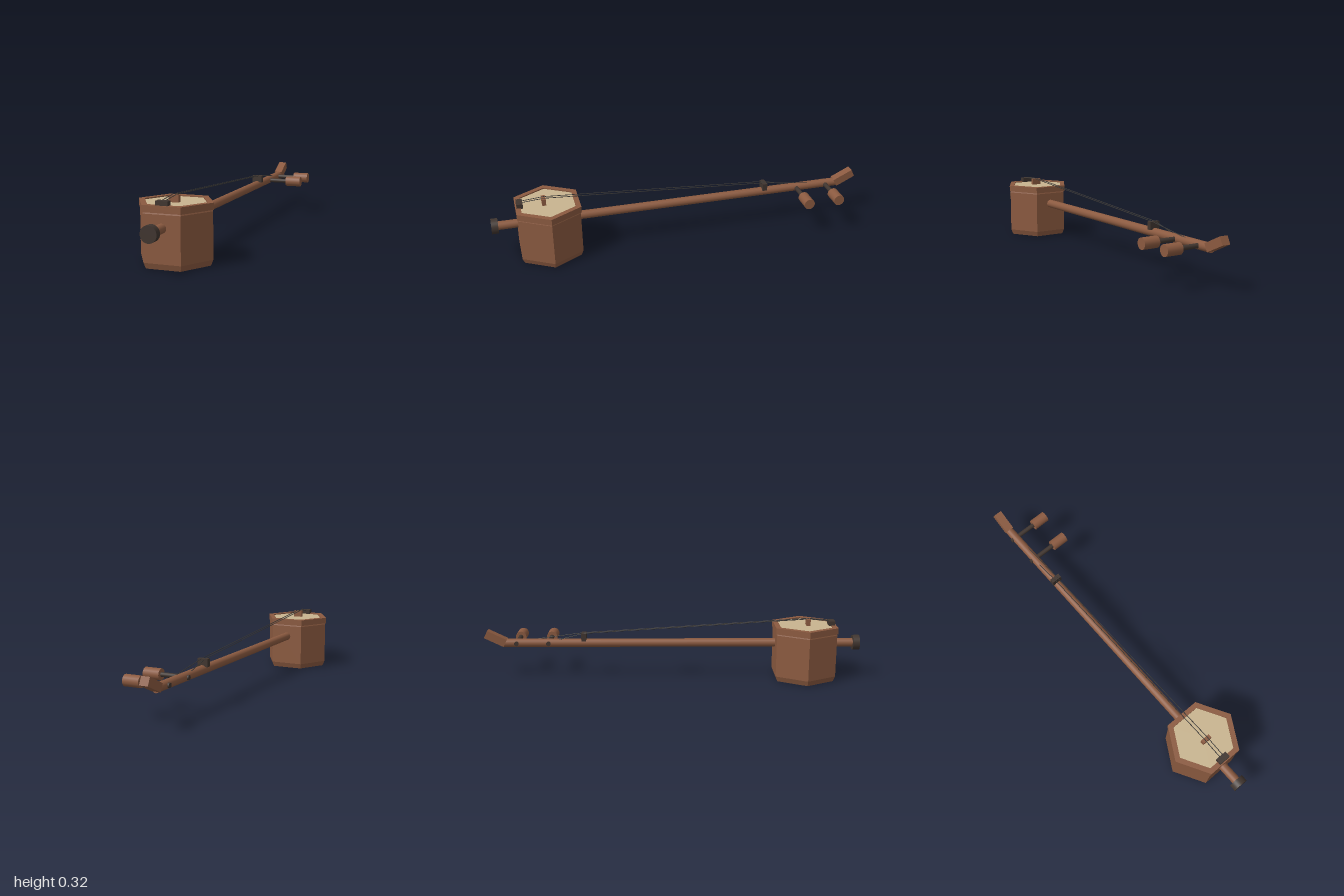
import * as THREE from 'three';

const CX = -0.0125; // long axis of the instrument
const BODY_Z = 0.708;
const AXIS_Y = 0.191;

const paint = (color, flatShading = false) => new THREE.MeshStandardMaterial({ color, flatShading });
const wood = paint(0x8b5a40);
const woodFlat = paint(0x8b5a40, true);
const dark = paint(0x40352f);
const skinMat = paint(0xc8b48f, true);
const stringMat = paint(0x3a3836);

export function createModel() {
  const model = new THREE.Group();
  model.name = 'spikeFiddle';

  function add(name, geometry, material, x, y, z) {
    const mesh = new THREE.Mesh(geometry, material);
    mesh.name = name;
    mesh.position.set(x, y, z);
    model.add(mesh);
    return mesh;
  }
  const box = (name, material, w, h, d, y, z) =>
    add(name, new THREE.BoxGeometry(w, h, d), material, CX, y, z);

  // Cylinder between two points
  function rod(name, material, radius, a, b, sides = 20) {
    const dir = b.clone().sub(a);
    const mesh = add(name, new THREE.CylinderGeometry(radius, radius, dir.length(), sides), material, 0, 0, 0);
    mesh.position.copy(a).add(b).multiplyScalar(0.5);
    mesh.quaternion.setFromUnitVectors(new THREE.Vector3(0, 1, 0), dir.normalize());
    return mesh;
  }
  const V = (x, y, z) => new THREE.Vector3(x, y, z);

  // Six-sided ring from a closed profile of [radius, y]
  const hexRing = (profile) => new THREE.LatheGeometry(
    profile.map(([r, y]) => new THREE.Vector2(r, y)), 6, Math.PI / 2);

  // Hollow sound box, open underneath
  add('soundBox', hexRing([
    [0.17, 0], [0.182, 0.028], [0.182, 0.252], [0.178, 0.262],
    [0.15, 0.262], [0.15, 0.028], [0.146, 0], [0.17, 0],
  ]), woodFlat, CX, 0, BODY_Z);
  add('rim', hexRing([
    [0.187, 0.259], [0.187, 0.292], [0.157, 0.292], [0.157, 0.259], [0.187, 0.259],
  ]), woodFlat, CX, 0, BODY_Z);
  add('skin', new THREE.CylinderGeometry(0.16, 0.16, 0.02, 6, 1, false, Math.PI / 2), skinMat, CX, 0.276, BODY_Z);

  // Neck running through the box, with its end knob
  rod('neck', wood, 0.0225, V(CX, AXIS_Y, -0.9), V(CX, AXIS_Y, 0.98));
  rod('endKnob', dark, 0.04, V(CX, AXIS_Y, 0.965), V(CX, AXIS_Y, 1), 32);

  // Head tilted upward at the far end
  const head = box('head', woodFlat, 0.045, 0.043, 0.113, 0.217, -0.936);
  head.rotation.x = 0.45;

  // Tuning pegs
  const pegs = [-0.655, -0.825];
  for (const z of pegs) {
    rod('pegShaft', dark, 0.012, V(-0.042, AXIS_Y, z), V(0.12, AXIS_Y, z), 16);
    rod('pegHandle', wood, 0.029, V(0.11, AXIS_Y, z), V(0.197, AXIS_Y, z));
  }

  // String supports
  box('tailpiece', dark, 0.06, 0.025, 0.032, 0.3005, 0.848);
  box('bridge', wood, 0.05, 0.037, 0.02, 0.302, 0.725);
  box('nut', dark, 0.055, 0.04, 0.025, 0.225, -0.467);

  // Two strings, each bending over the bridge and nut to its peg
  pegs.forEach((pegZ, i) => {
    const x = CX + (i ? 0.009 : -0.009);
    const path = [
      V(x, 0.311, 0.848), V(x, 0.321, 0.725), V(x, 0.244, -0.467), V(x, AXIS_Y + 0.005, pegZ),
    ];
    for (let k = 0; k < path.length - 1; k++) rod('string', stringMat, 0.002, path[k], path[k + 1], 6);
  });

  return model;
}
